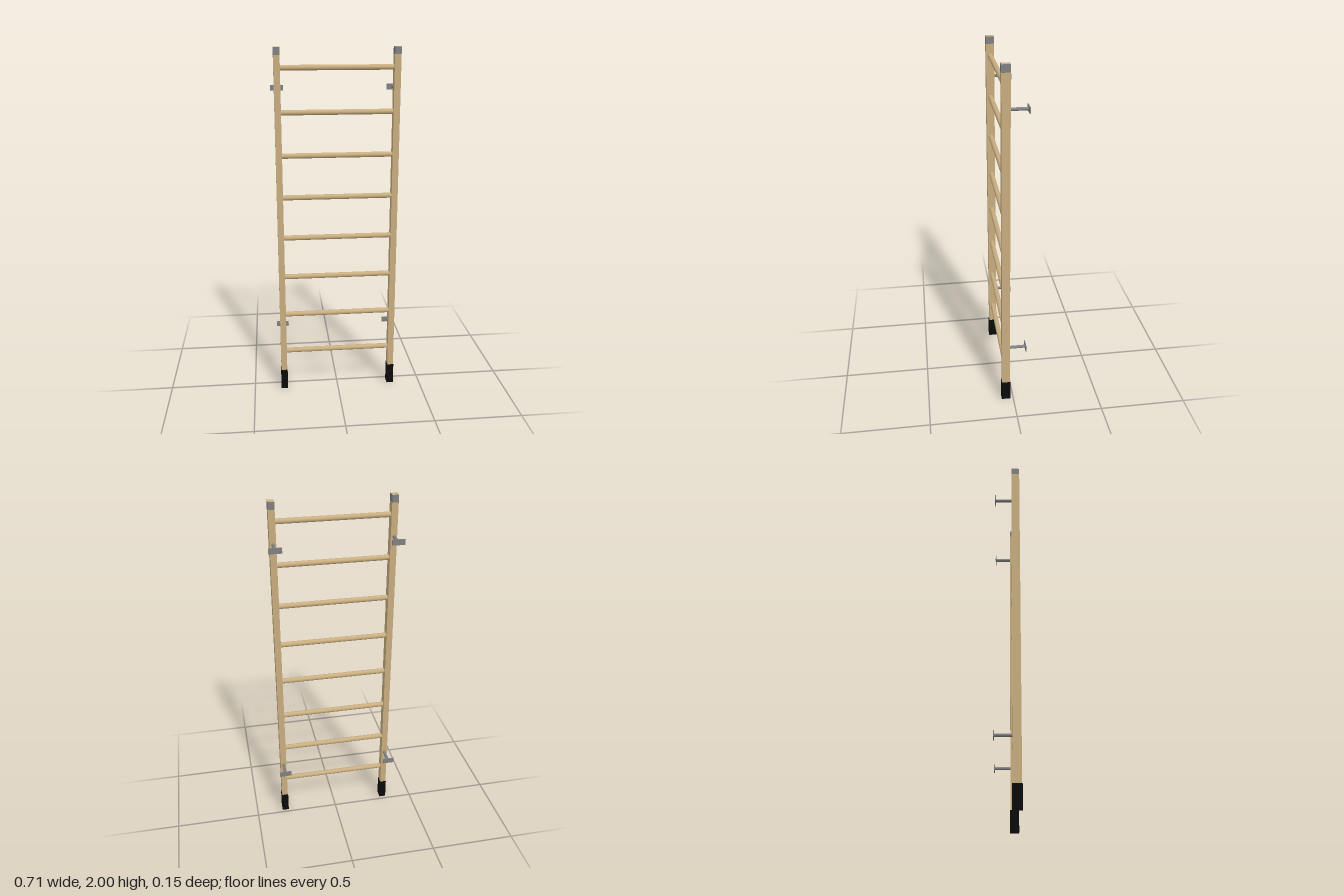
import * as THREE from 'three';

const mat = (name, color) => {
  const m = new THREE.MeshStandardMaterial({ color });
  m.name = name;
  return m;
};

export function createModel() {
  const model = new THREE.Group();
  model.name = 'wallLadder';
  const wood = mat('wood', 0xc8ad7f);
  const steel = mat('steel', 0x808080);
  const rubber = mat('rubber', 0x0a0a0a);
  rubber.side = THREE.DoubleSide;

  const add = (parent, name, geometry, material, x, y, z) => {
    const mesh = new THREE.Mesh(geometry, material);
    mesh.name = name;
    mesh.position.set(x, y, z);
    parent.add(mesh);
    return mesh;
  };

  const railX = 0.322, railW = 0.035, railD = 0.046;
  const bandY = 1.96, footH = 0.122, railBottom = 0.02;

  // Hollow rubber sleeve, open below
  const rect = (path, w, d) => {
    path.moveTo(-w / 2, -d / 2);
    path.lineTo(w / 2, -d / 2);
    path.lineTo(w / 2, d / 2);
    path.lineTo(-w / 2, d / 2);
    path.closePath();
    return path;
  };
  const sleeve = rect(new THREE.Shape(), 0.039, 0.051);
  sleeve.holes.push(rect(new THREE.Path(), railW, railD));
  const footGeo = new THREE.ExtrudeGeometry(sleeve, { depth: footH, bevelEnabled: false });
  footGeo.rotateX(-Math.PI / 2);

  const railGeo = new THREE.BoxGeometry(railW, bandY - railBottom, railD);
  const bandGeo = new THREE.BoxGeometry(railW, 2 - bandY, railD);
  const stemGeo = new THREE.CylinderGeometry(0.0085, 0.0085, 0.094, 24).rotateX(Math.PI / 2);
  const plateGeo = new THREE.BoxGeometry(0.071, 0.031, 0.005);

  // Two uprights, each with a steel band, rubber foot and wall brackets
  for (const side of [-1, 1]) {
    const upright = new THREE.Group();
    upright.name = side > 0 ? 'leftUpright' : 'rightUpright';
    upright.position.set(side * railX, 0, -side * 0.001);
    model.add(upright);
    add(upright, 'rail', railGeo, wood, 0, (bandY + railBottom) / 2, 0.0445);
    // Steel around the sides, bare wood on the end grain
    add(upright, 'topBand', bandGeo, [steel, steel, wood, wood, steel, steel], 0, (2 + bandY) / 2, 0.0445);
    add(upright, 'foot', footGeo, rubber, 0, 0, 0.0445);
    for (const y of [0.362, 1.778]) {
      const bracket = new THREE.Group();
      bracket.name = 'wallBracket';
      bracket.position.y = y;
      upright.add(bracket);
      add(bracket, 'stem', stemGeo, steel, 0, 0, -0.022);
      add(bracket, 'plate', plateGeo, steel, 0, 0, -0.0705);
    }
  }

  // Eight round rungs
  const rungGeo = new THREE.CylinderGeometry(0.0145, 0.0145, 2 * railX - railW + 0.01, 32).rotateZ(Math.PI / 2);
  for (let i = 0; i < 8; i++) add(model, 'rung', rungGeo, wood, 0, 0.241 + i * 0.236, 0.0445);

  return model;
}
